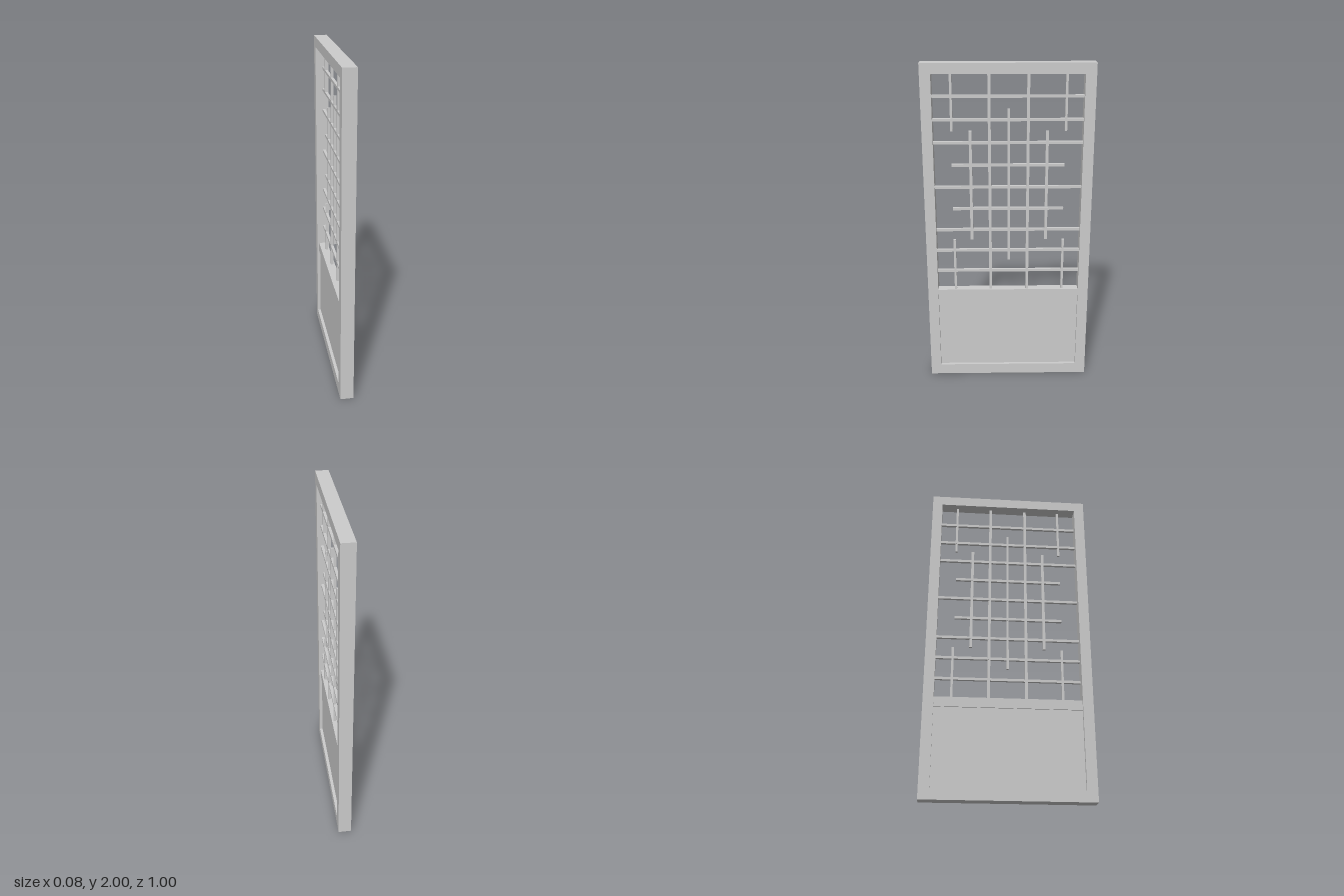
import * as THREE from 'three';

const material = new THREE.MeshStandardMaterial({ color: 0xcccccc, flatShading: true });

// Lattice layout
const INNER = 0.437;      // half width of the opening
const LATTICE_X = 0.01;   // lattice sits slightly off the middle of the frame
const BAR_DEPTH = 0.017;

export function createModel() {
  const model = new THREE.Group();
  model.name = 'latticeDoor';

  // Box from z and y ranges, centred on x
  function slab(name, z0, z1, y0, y1, depth, x = 0, parent = model) {
    const mesh = new THREE.Mesh(new THREE.BoxGeometry(depth, y1 - y0, z1 - z0), material);
    mesh.position.set(x, (y0 + y1) / 2, (z0 + z1) / 2);
    mesh.name = name;
    parent.add(mesh);
  }

  // Outer frame: rectangle with an opening, extruded across the thickness
  const outline = new THREE.Shape([[-0.5, 0], [0.5, 0], [0.5, 2], [-0.5, 2]]
    .map(([z, y]) => new THREE.Vector2(z, y)));
  outline.holes.push(new THREE.Path([[-INNER, 0.067], [-INNER, 1.938], [INNER, 1.938], [INNER, 0.067]]
    .map(([z, y]) => new THREE.Vector2(z, y))));
  const frameGeometry = new THREE.ExtrudeGeometry(outline, { depth: 0.08, bevelEnabled: false });
  frameGeometry.translate(0, 0, -0.04).rotateY(Math.PI / 2);
  const frame = new THREE.Mesh(frameGeometry, material);
  frame.name = 'frame';
  model.add(frame);

  // Solid lower panel and the rail above it
  slab('lowerPanel', -INNER, INNER, 0.067, 0.54, 0.042);
  slab('middleRail', -INNER, INNER, 0.54, 0.6, 0.056);

  // Lattice
  const lattice = new THREE.Group();
  lattice.name = 'lattice';
  model.add(lattice);

  // Horizontal bars, evenly spaced; two stop short of the frame
  for (let i = 0; i < 9; i++) {
    const y = 0.727 + i * 0.1353;
    const reach = i === 3 || i === 5 ? 0.333 : INNER;
    slab('horizontalBar', -reach, reach, y - 0.008, y + 0.008, BAR_DEPTH, LATTICE_X, lattice);
  }

  // Vertical bars: [distance from centre, bottom, top, width]
  const verticals = [
    [0.332, 0.6, 0.932, 0.014],
    [0.332, 1.608, 1.938, 0.014],
    [0.225, 0.935, 1.608, 0.017],
    [0.113, 0.6, 1.938, 0.017],
  ];
  for (const [offset, y0, y1, width] of verticals) {
    for (const side of [-1, 1]) {
      const z = side * offset - 0.004;
      slab('verticalBar', z - width / 2, z + width / 2, y0, y1, BAR_DEPTH - 0.001, LATTICE_X, lattice);
    }
  }
  slab('centreBar', -0.011, 0.003, 0.798, 1.737, BAR_DEPTH - 0.001, LATTICE_X, lattice);

  return model;
}
